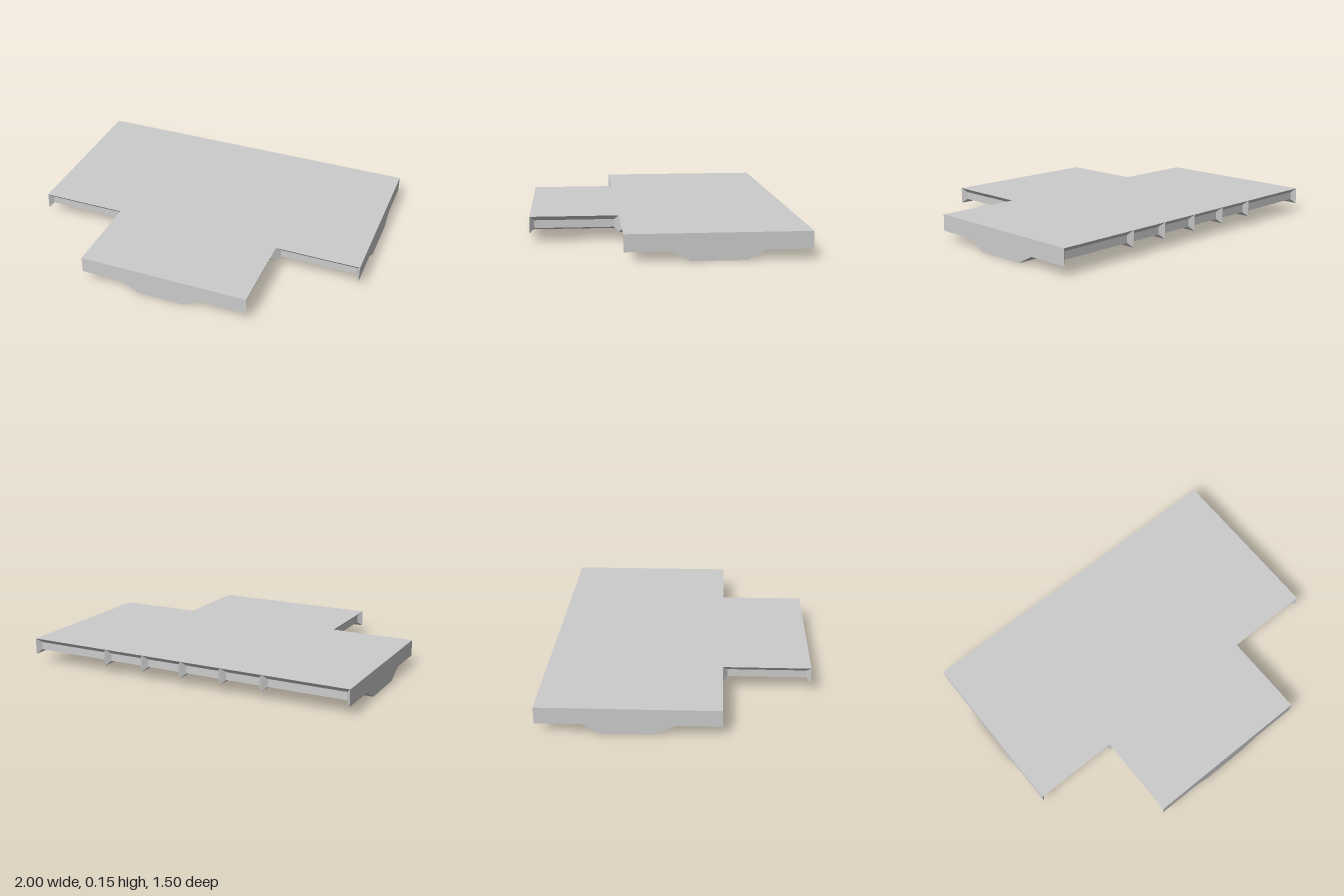
import * as THREE from 'three';

const TOP = 0.15, LOW = 0.055, INSET = 0.025;

// Edge bay facing +z: a recess wrapping from the rim to the underside, with sloped borders
function bayGeometry(length, width) {
  const h = length / 2, k = h - INSET, i = INSET;
  // cross-section from the rim to the keel: [half length, y, z]
  const rim = [h, TOP, 0], corner = [h, LOW, 0], inner = [h, LOW, -width];
  const wallTop = [k, TOP - i, -i], wallLow = [k, LOW + i, -i], ceiling = [k, LOW + i, i - width];
  const L = ([x, y, z]) => [-x, y, z];
  const pos = [];
  const quad = (a, b, c, d) => pos.push(...a, ...b, ...c, ...a, ...c, ...d);
  const section = [rim, wallTop, wallLow, ceiling, inner];
  for (let n = 0; n < 4; n++) {
    const p = section[n], q = section[n + 1];
    quad(L(q), q, p, L(p));
  }
  // sloped end borders
  for (const [p, q, a, b] of [[rim, corner, wallTop, wallLow], [corner, inner, wallLow, ceiling]]) {
    quad(L(q), L(b), L(a), L(p));
    quad(b, q, p, a);
  }
  const g = new THREE.BufferGeometry();
  g.setAttribute('position', new THREE.Float32BufferAttribute(pos, 3));
  g.computeVertexNormals();
  return g;
}

const outline = (points) => new THREE.Shape(points.map(([x, y]) => new THREE.Vector2(x, y)));

export function createModel() {
  const model = new THREE.Group();
  const mat = new THREE.MeshStandardMaterial({ color: 0xcccccc, flatShading: true });
  const thin = new THREE.MeshStandardMaterial({ color: 0xcccccc, flatShading: true, side: THREE.DoubleSide });
  const add = (name, geo, x = 0, y = 0, z = 0, turn = 0, material = mat) => {
    const m = new THREE.Mesh(geo, material);
    m.name = name;
    m.position.set(x, y, z);
    m.rotation.y = turn;
    model.add(m);
  };

  // T-shaped deck
  const deck = new THREE.ShapeGeometry(outline([
    [-1, 0.75], [-1, -0.25], [-0.5, -0.25], [-0.5, -0.75],
    [0.5, -0.75], [0.5, -0.25], [1, -0.25], [1, 0.75]]));
  deck.rotateX(-Math.PI / 2);
  add('deck', deck, 0, TOP, 0, 0, thin);

  // Keels: a trapezoid under the crossbar and another under the stem
  const keel = (a, b, length) => new THREE.ExtrudeGeometry(outline([
    [a, TOP - 0.002], [a, LOW], [a + 0.1, 0], [b - 0.1, 0], [b, LOW], [b, TOP - 0.002]]),
    { depth: length, bevelEnabled: false });
  add('crossbarKeel', keel(0, 0.5, 1.998), -0.999, 0, 0, Math.PI / 2);
  add('stemKeel', keel(-0.25, 0.23, 0.999), 0, 0, -0.25);

  // Flat end plates with the full cross-section
  const endPlate = (l, a, b, r) => new THREE.ShapeGeometry(outline([
    [l, TOP], [l, LOW], [a, LOW], [a + 0.1, 0], [b - 0.1, 0], [b, LOW], [r, LOW], [r, TOP]]));
  const armEnd = endPlate(-0.25, 0, 0.5, 0.75);
  for (const x of [-1, 1]) add('armEndPlate', armEnd, x, 0, 0, Math.PI / 2, thin);
  add('stemEndPlate', endPlate(-0.5, -0.25, 0.23, 0.5), 0, 0, 0.75, 0, thin);

  // Blocks in the two inner corners
  for (const [a, b] of [[-0.5, -0.25], [0.23, 0.5]]) {
    const height = TOP - LOW - 0.002;
    add('cornerBlock', new THREE.BoxGeometry(b - a, height, 0.25), (a + b) / 2, LOW + height / 2, 0.125);
  }

  // Recessed bays along the front of the arms and the sides of the stem
  for (const s of [-1, 1]) {
    add('armFrontBay', bayGeometry(0.5, 0.25), s * 0.75, 0, 0.25);
    add('stemSideBay', bayGeometry(0.5, s > 0 ? 0.27 : 0.25), s * 0.5, 0, 0.5, s * Math.PI / 2);
  }

  // Back bays, meeting in sharp ribs
  const ribs = [-1, -0.5, -0.25, 0, 0.25, 0.5, 1];
  for (let n = 0; n < ribs.length - 1; n++) {
    const a = ribs[n], b = ribs[n + 1];
    add('backBay', bayGeometry(b - a, 0.25), (a + b) / 2, 0, -0.75, Math.PI);
  }
  return model;
}
